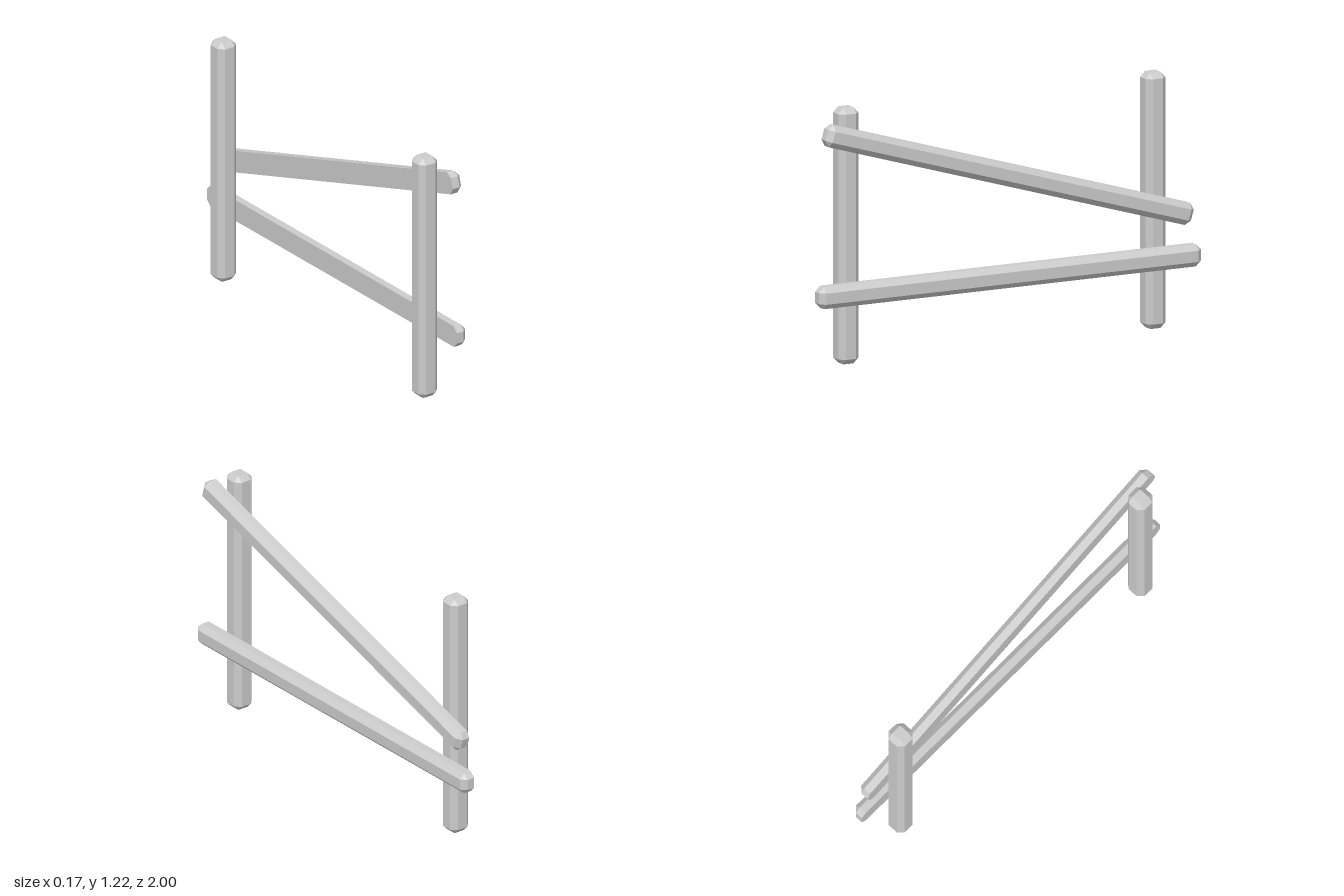
import * as THREE from 'three';
import { ConvexGeometry } from 'three/addons/geometries/ConvexGeometry.js';

const BEVEL = 0.026;
const HALF = 0.0525;

// Adds a point mirrored over the signs of the given axes
function mirrored(points, x, y, z, mirrorX) {
  for (const sx of mirrorX ? [-1, 1] : [1])
    for (const sy of [-1, 1])
      for (const sz of [-1, 1]) points.push(new THREE.Vector3(x * sx, y * sy, z * sz));
}

// Square post with every edge bevelled
function postGeometry(height) {
  const p = [], h = height / 2, inner = HALF - BEVEL;
  mirrored(p, HALF, h - BEVEL, inner, true);
  mirrored(p, inner, h - BEVEL, HALF, true);
  mirrored(p, inner, h, inner, true);
  return new ConvexGeometry(p);
}

// Bevelled bar along z, cut flat on the side that lies against the posts
function railGeometry(length, thickness) {
  const p = [], l = length / 2, inner = HALF - BEVEL;
  for (const x of [0, thickness - BEVEL]) {
    mirrored(p, x, HALF, l - BEVEL, false);
    mirrored(p, x, inner, l, false);
  }
  mirrored(p, thickness, inner, l - BEVEL, false);
  return new ConvexGeometry(p);
}

export function createModel() {
  const group = new THREE.Group();
  const material = new THREE.MeshStandardMaterial({ color: 0xcccccc, flatShading: true });
  const add = (name, geometry, x, y, z, tilt = 0) => {
    const mesh = new THREE.Mesh(geometry, material);
    mesh.name = name;
    mesh.position.set(x, y, z);
    mesh.rotation.x = tilt;
    group.add(mesh);
  };

  // Upright posts
  const post = postGeometry(1.215);
  add('frontPost', post, -0.032, 0.6075, 0.812);
  add('backPost', post, -0.032, 0.6075, -0.796);

  // Level lower rail and slanted upper rail
  const rail = railGeometry(2, 0.064);
  add('lowerRail', rail, 0.02, 0.341, 0);
  add('slantedRail', rail, 0.02, 0.8225, 0.002, -THREE.MathUtils.degToRad(16.8));

  return group;
}
